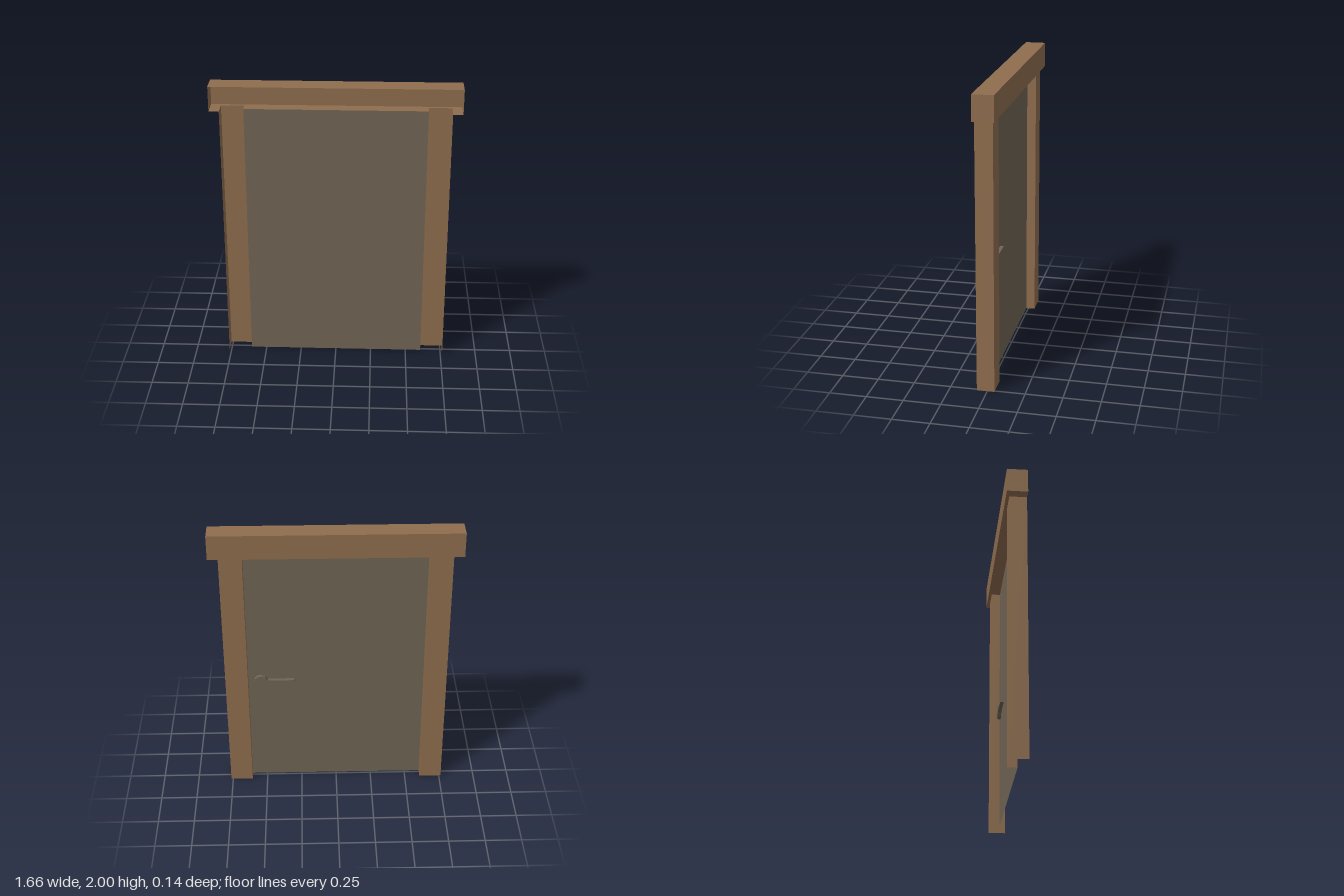
import * as THREE from 'three';

const W = 0.83, D = 0.07, TOP = 2, HEAD = 1.83;   // lintel extents
const OUT = 0.763, IN = 0.608, BACK = -0.048, DOOR_Z = 0.015; // post and door planes

// Open sheet: a plan line of [x, z] points raised from y0 to y1
function sheet(points, y0, y1) {
  const pos = [];
  for (let i = 0; i < points.length - 1; i++) {
    const [ax, az] = points[i], [bx, bz] = points[i + 1];
    pos.push(ax, y0, az, bx, y0, bz, bx, y1, bz, ax, y0, az, bx, y1, bz, ax, y1, az);
  }
  const g = new THREE.BufferGeometry();
  g.setAttribute('position', new THREE.Float32BufferAttribute(pos, 3));
  g.computeVertexNormals();
  return g;
}

// Flat horizontal plate from a plan outline of [x, z] points
function plate(points, y) {
  const shape = new THREE.Shape(points.map(([x, z]) => new THREE.Vector2(x, z)));
  return new THREE.ShapeGeometry(shape).rotateX(Math.PI / 2).translate(0, y, 0);
}

export function createModel() {
  const group = new THREE.Group();
  const wood = new THREE.MeshStandardMaterial({ color: 0x8f6d4e, side: THREE.DoubleSide });
  wood.name = 'brown wood';
  const panel = new THREE.MeshStandardMaterial({ color: 0x706454, side: THREE.DoubleSide });
  panel.name = 'grey brown door';
  const add = (name, geometry, material) => {
    const mesh = new THREE.Mesh(geometry, material);
    mesh.name = name;
    group.add(mesh);
  };

  // Posts: channels open to the front, with a deep outer and a short inner flange
  for (const [name, s] of [['leftPost', 1], ['rightPost', -1]]) {
    const plan = [[OUT, D], [OUT, BACK], [IN, BACK], [IN, DOOR_Z]].map(([x, z]) => [s * x, z]);
    // keep the faces turned outwards on both sides
    add(name, sheet(s > 0 ? plan : plan.reverse(), 0, HEAD), wood);
  }

  // Lintel: back and ends, lid, and a soffit notched around the posts and door
  add('lintelWalls', sheet([[W, D], [W, -D], [-W, -D], [-W, D]], HEAD, TOP), wood);
  add('lintelTop', plate([[-W, -D], [W, -D], [W, D], [-W, D]], TOP).rotateZ(Math.PI).translate(0, 2 * TOP, 0), wood);
  const half = [[W, -D], [W, D], [OUT, D], [OUT, BACK], [IN, BACK], [IN, DOOR_Z]];
  const mirrored = half.map(([x, z]) => [-x, z]).reverse();
  add('lintelSoffit', plate([...half, ...mirrored], HEAD), wood);

  // Door leaf
  add('door', new THREE.PlaneGeometry(2 * IN, HEAD).translate(0, HEAD / 2, DOOR_Z), panel);

  // Handle on the back: round rose running into a straight lever
  const r = 0.05, h = 0.016, a = Math.asin(h / r);
  const outline = [new THREE.Vector2(-0.23, h), new THREE.Vector2(-0.23, -h)];
  for (let i = 0; i <= 10; i++) {
    const t = -Math.PI + a + (i / 10) * 2 * (Math.PI - a);
    outline.push(new THREE.Vector2(r * Math.cos(t), r * Math.sin(t)));
  }
  const handle = new THREE.ExtrudeGeometry(new THREE.Shape(outline), { depth: 0.025, bevelEnabled: false });
  add('handle', handle.translate(0.52, 0.825, DOOR_Z - 0.025), panel);

  return group;
}
